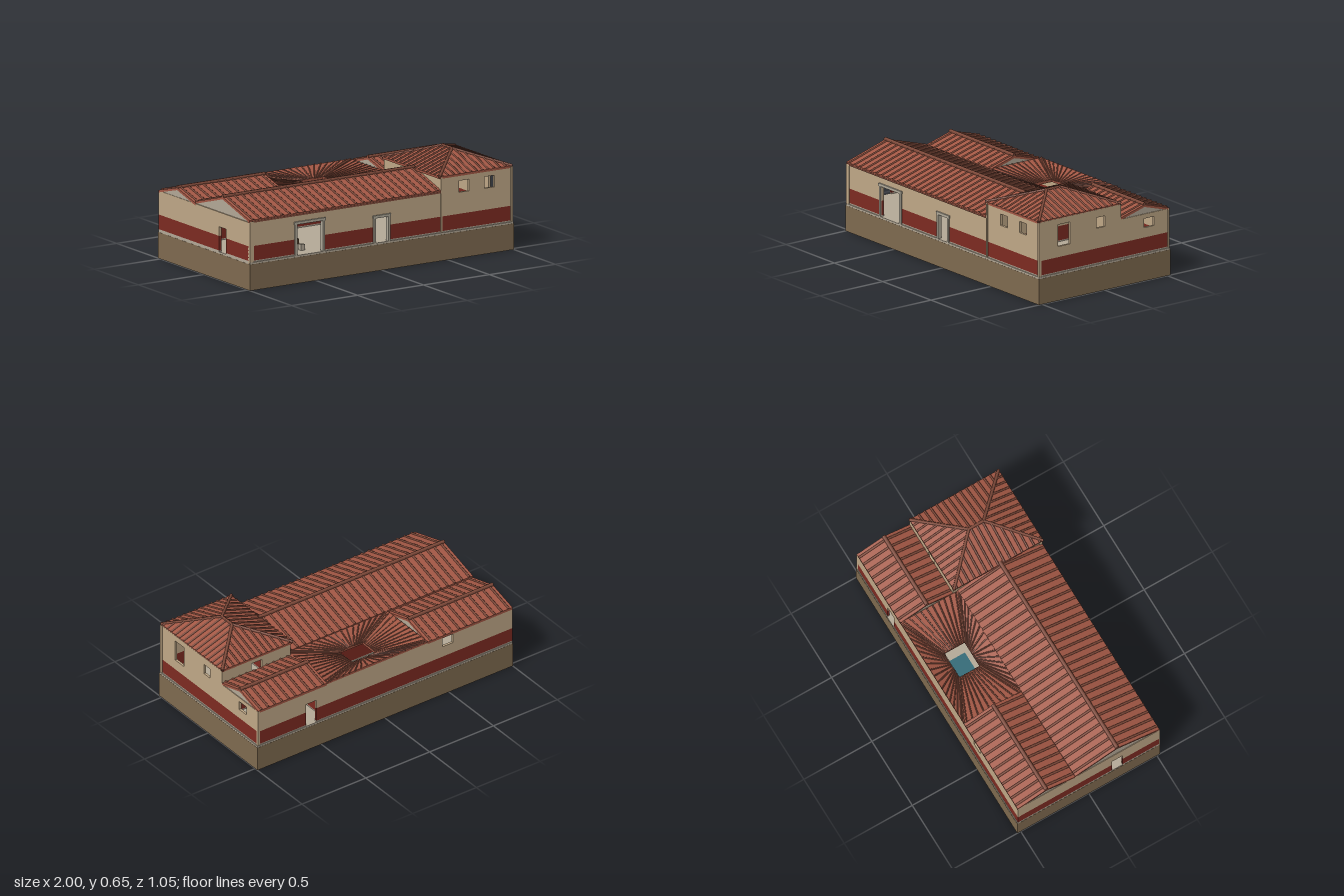
import * as THREE from 'three';
import { mergeGeometries } from 'three/addons/utils/BufferGeometryUtils.js';

const mat = (name, color, side = THREE.FrontSide) => {
  const m = new THREE.MeshStandardMaterial({ color, side });
  m.name = name;
  return m;
};
const V = (x, y, z) => new THREE.Vector3(x, y, z);

export function createModel() {
  const M = {
    earth: mat('earth brown', 0x806b50),
    stone: mat('pale stone', 0xb5aa98),
    red: mat('dado red', 0x7e2b22),
    plaster: mat('tan plaster', 0xc1a988),
    tile: mat('terracotta tile', 0xa45845),
    cover: mat('dark cover tile', 0x7f4a3a),
    frame: mat('door frame grey', 0xb0a999),
    water: mat('pool water', 0x336b78),
    wood: mat('dark wood', 0x5e4630),
  };
  const model = new THREE.Group();
  model.name = 'courtyardHouse';

  const group = (name, parent = model) => {
    const g = new THREE.Group();
    g.name = name;
    parent.add(g);
    return g;
  };
  const add = (name, geo, material, parent = model) => {
    const m = new THREE.Mesh(geo, material);
    m.name = name;
    parent.add(m);
    return m;
  };
  // Box given by its lower and upper limits
  const box = (name, x0, x1, y0, y1, z0, z1, material, parent) => {
    const g = new THREE.BoxGeometry(x1 - x0, y1 - y0, z1 - z0);
    g.translate((x0 + x1) / 2, (y0 + y1) / 2, (z0 + z1) / 2);
    return add(name, g, material, parent);
  };

  // Flat polygon thickened along an offset
  const slab = (points, off) => {
    const n = V(0, 0, 0).crossVectors(
      points[1].clone().sub(points[0]), points[2].clone().sub(points[0]));
    const top = n.dot(off) > 0 ? [...points].reverse() : points;
    const low = top.map((p) => p.clone().add(off));
    const out = [];
    const tri = (a, b, c) => out.push(...a.toArray(), ...b.toArray(), ...c.toArray());
    for (let i = 0; i < top.length; i++) {
      const j = (i + 1) % top.length;
      if (i > 0 && j > 0) {
        tri(top[0], top[i], top[j]);
        tri(low[0], low[j], low[i]);
      }
      tri(top[i], low[i], low[j]);
      tri(top[i], low[j], top[j]);
    }
    const g = new THREE.BufferGeometry();
    g.setAttribute('position', new THREE.Float32BufferAttribute(out, 3));
    g.computeVertexNormals();
    return g;
  };

  // Round cover tile running from p to q
  const rib = (p, q, r = 0.008) => {
    const d = q.clone().sub(p);
    const g = new THREE.CylinderGeometry(r, r, d.length(), 6);
    g.applyQuaternion(new THREE.Quaternion().setFromUnitVectors(V(0, 1, 0), d.normalize()));
    const c = p.clone().add(q).multiplyScalar(0.5);
    return g.translate(c.x, c.y, c.z);
  };

  // Roof slope from eave a-b up to edge d-c, with ribs joining the two edges
  const slope = (a, b, c, d, count, parent, r) => {
    add('tileSlope', slab([a, b, c, d], V(0, -0.016, 0)), M.tile, parent);
    const ribs = [];
    for (let i = 0; i < count; i++) {
      const t = (i + 0.5) / count;
      ribs.push(rib(a.clone().lerp(b, t), d.clone().lerp(c, t), r));
    }
    add('coverTiles', mergeGeometries(ribs), M.cover, parent);
  };

  // Wall along x or z with plinth, red dado and plaster; openings are [u0, u1, y0, y1]
  const T = 0.008;
  const wall = (name, axis, at, u0, u1, top, openings = []) => {
    const g = group(name);
    const cuts = [u0, u1, ...openings.flatMap((o) => [o[0], o[1]])].sort((a, b) => a - b);
    const bands = [['plinth', 0.17, 0.19, M.stone], ['redBand', 0.19, 0.285, M.red],
      ['plaster', 0.285, top, M.plaster]];
    const piece = (n, a, b, y0, y1, m) => {
      if (b - a < 1e-4 || y1 - y0 < 1e-4) return;
      if (axis === 'x') box(n, a, b, y0, y1, at - T, at + T, m, g);
      else box(n, at - T, at + T, y0, y1, a, b, m, g);
    };
    for (let i = 0; i + 1 < cuts.length; i++) {
      const [a, b] = [cuts[i], cuts[i + 1]];
      const hole = openings.find((o) => o[0] < (a + b) / 2 && o[1] > (a + b) / 2);
      for (const [n, y0, y1, m] of bands) {
        if (!hole) piece(n, a, b, y0, y1, m);
        else {
          piece(n, a, b, y0, Math.min(y1, hole[2]), m);
          piece(n, a, b, Math.max(y0, hole[3]), y1, m);
        }
      }
    }
  };

  // Ground block and floor
  box('baseBlock', -1, 1, 0, 0.17, -0.525, 0.525, M.earth);
  box('floor', -0.999, 0.999, 0.17, 0.182, -0.524, 0.524, M.stone);

  // Outer walls
  wall('frontWall', 'x', 0.507, -1, 0.455, 0.445,
    [[-0.64, -0.445, 0.182, 0.385], [-0.045, 0.05, 0.182, 0.345]]);
  wall('towerFrontWall', 'x', 0.507, 0.455, 0.99, 0.54,
    [[0.59, 0.665, 0.425, 0.5], [0.785, 0.86, 0.425, 0.5]]);
  wall('backWall', 'x', -0.512, -1, 0.99, 0.44,
    [[-0.535, -0.455, 0.36, 0.425], [0.535, 0.615, 0.182, 0.345]]);
  wall('leftWall', 'z', -0.991, -0.504, 0.499, 0.44, [[0.17, 0.25, 0.182, 0.345]]);
  wall('towerSideWall', 'z', 0.985, -0.135, 0.499, 0.54,
    [[0.272, 0.365, 0.355, 0.5], [-0.01, 0.058, 0.418, 0.488]]);
  wall('rearSideWall', 'z', 0.985, -0.504, -0.135, 0.44, [[-0.4, -0.32, 0.35, 0.41]]);

  // Inner walls
  wall('towerInnerWall', 'z', 0.463, -0.135, 0.499, 0.54);
  wall('towerBackWall', 'x', -0.127, 0.471, 0.977, 0.54, [[0.68, 0.76, 0.43, 0.505]]);
  wall('middleWall', 'x', -0.095, -0.983, 0.455, 0.44);
  wall('courtWallWest', 'z', -0.335, -0.504, -0.103, 0.44);
  wall('courtWallEast', 'z', 0.463, -0.504, -0.135, 0.44);

  // Corner pilasters
  const posts = group('cornerPilasters');
  for (const [x0, x1, y1] of [[-1, -0.97, 0.445], [0.45, 0.461, 0.54], [0.98, 0.995, 0.54]])
    box('pilaster', x0, x1, 0.175, y1, 0.5, 0.522, M.plaster, posts);
  box('pilaster', 0.98, 0.995, 0.175, 0.44, -0.522, -0.51, M.plaster, posts);

  // Stone door surrounds
  for (const [name, x0, x1, top] of [['mainDoorFrame', -0.657, -0.43, 0.4],
    ['sideDoorFrame', -0.06, 0.065, 0.36]]) {
    const g = group(name);
    for (const x of [x0, x1 - 0.016]) box('jamb', x, x + 0.016, 0.18, top - 0.016, 0.497, 0.524, M.frame, g);
    box('lintel', x0 - 0.005, x1 + 0.005, top - 0.018, top, 0.495, 0.525, M.frame, g);
  }

  // Counter and stool behind the main door
  box('counter', -0.62, -0.46, 0.182, 0.215, 0.2, 0.27, M.wood);
  box('stool', -0.55, -0.52, 0.182, 0.22, 0.4, 0.43, M.stone);

  // Gabled roofs: x range, eave and ridge lines, tile count
  const gableRoof = (name, x0, x1, zf, zr, zb, yf, yr, yb, count) => {
    const g = group(name);
    slope(V(x0, yf, zf), V(x1, yf, zf), V(x1, yr, zr), V(x0, yr, zr), count, g);
    slope(V(x0, yb, zb), V(x1, yb, zb), V(x1, yr, zr), V(x0, yr, zr), count, g);
    add('ridgeCap', rib(V(x0, yr + 0.002, zr), V(x1, yr + 0.002, zr), 0.013), M.cover, g);
    for (const x of [x0 + 0.004, x1 - 0.014])
      add('gable', slab([V(x, yf - 0.014, zf * 0.98 + zr * 0.02), V(x, yr - 0.012, zr),
        V(x, yb - 0.014, zb * 0.98 + zr * 0.02)], V(0.01, 0, 0)), M.stone, g);
  };
  gableRoof('frontWingRoof', -1, 0.455, 0.519, 0.21, -0.1, 0.456, 0.547, 0.456, 26);
  gableRoof('rearWestRoof', -1, -0.335, -0.1, -0.31, -0.522, 0.444, 0.502, 0.444, 12);
  gableRoof('rearEastRoof', 0.455, 0.992, -0.135, -0.325, -0.522, 0.45, 0.502, 0.444, 10);
  box('frontEaveBeam', -1, 0.455, 0.438, 0.449, 0.5, 0.521, M.cover);

  // Inward sloping court roof around an open rectangle
  const court = group('courtRoof');
  const outer = [[-0.332, -0.095], [0.453, -0.095], [0.453, -0.522], [-0.332, -0.522]]
    .map(([x, z]) => V(x, 0.452, z));
  const inner = [[-0.038, -0.23], [0.15, -0.23], [0.15, -0.38], [-0.038, -0.38]]
    .map(([x, z]) => V(x, 0.405, z));
  for (let i = 0; i < 4; i++) {
    const j = (i + 1) % 4;
    slope(outer[i], outer[j], inner[j], inner[i], i % 2 ? 10 : 16, court, 0.005);
    add('valleyTile', rib(outer[i], inner[i], 0.006), M.cover, court);
  }

  // Rainwater pool under the opening
  box('poolRim', -0.06, 0.17, 0.182, 0.187, -0.4, -0.21, M.stone);
  box('pool', -0.045, 0.155, 0.183, 0.191, -0.385, -0.225, M.water);

  // Hipped tower roof
  const tower = group('towerRoof');
  const [x0, x1, z0, z1, ye, yr, xm, za, zb] = [0.44, 0.992, -0.137, 0.52, 0.546, 0.641, 0.715, 0.135, 0.245];
  const [A, B, C, D] = [V(x0, ye, z1), V(x1, ye, z1), V(x1, ye, z0), V(x0, ye, z0)];
  const [P, Q] = [V(xm, yr, za), V(xm, yr, zb)];
  for (const face of [[A, B, Q], [B, C, P, Q], [C, D, P], [D, A, Q, P]])
    add('tileSlope', slab(face, V(0, -0.014, 0)), M.tile, tower);
  const ribs = [];
  const lift = (f) => ye + (yr - ye) * f;
  for (let z = z0 + 0.025; z < z1; z += 0.0435) {
    const f = Math.min(1, (z - z0) / (za - z0), (z1 - z) / (z1 - zb));
    for (const x of [x0, x1]) ribs.push(rib(V(x, ye, z), V(x + (xm - x) * f, lift(f), z), 0.007));
  }
  for (let x = x0 + 0.025; x < x1; x += 0.0435) {
    const f = Math.min((x - x0) / (xm - x0), (x1 - x) / (x1 - xm));
    ribs.push(rib(V(x, ye, z1), V(x, lift(f), z1 + (zb - z1) * f), 0.007));
    ribs.push(rib(V(x, ye, z0), V(x, lift(f), z0 + (za - z0) * f), 0.007));
  }
  add('coverTiles', mergeGeometries(ribs), M.cover, tower);
  const hips = [[A, Q], [B, Q], [C, P], [D, P], [P, Q]].map(([p, q]) => rib(p, q, 0.01));
  add('hipTiles', mergeGeometries(hips), M.cover, tower);

  return model;
}
